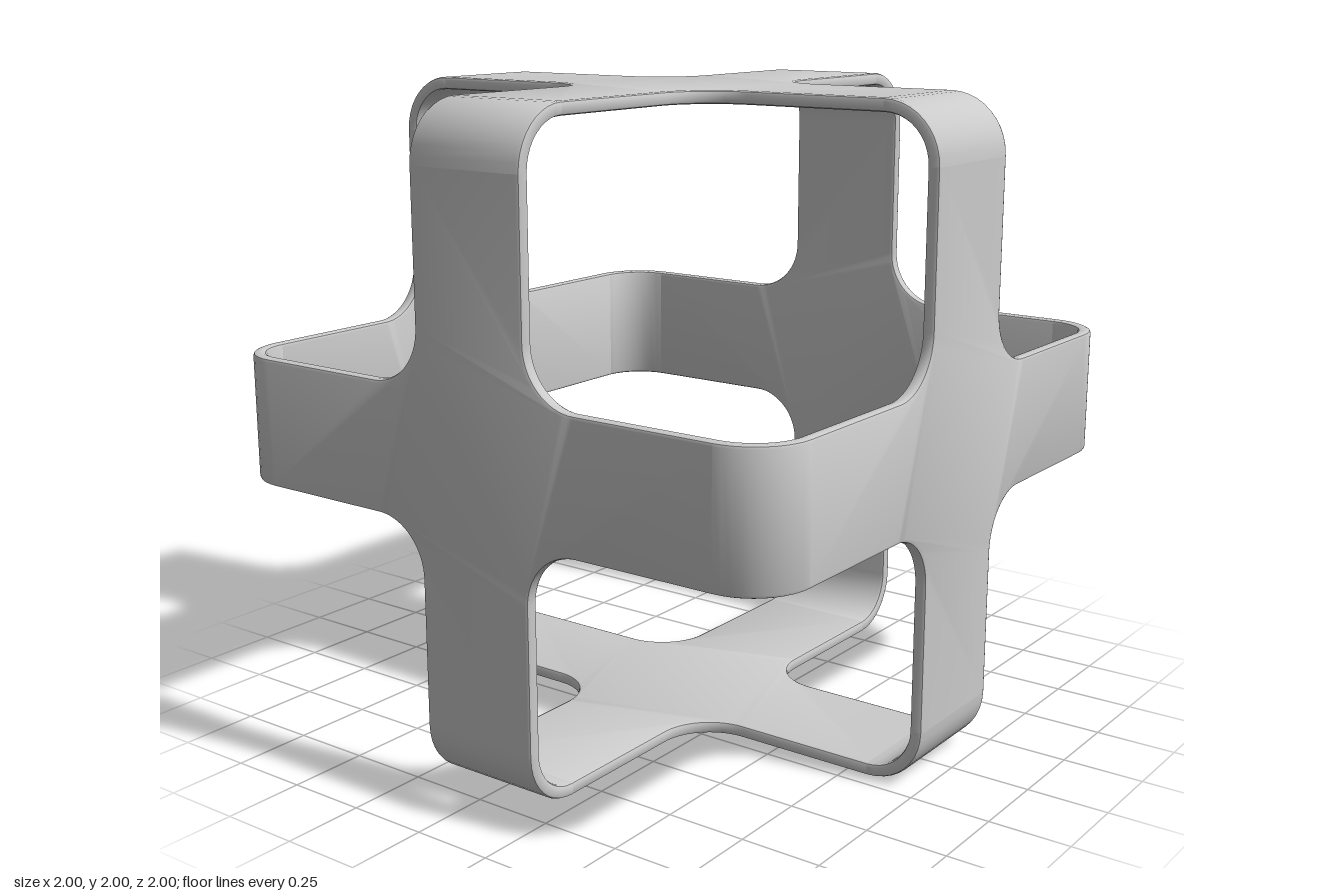
import * as THREE from 'three';
import { toCreasedNormals } from 'three/addons/utils/BufferGeometryUtils.js';

const HALF = 1;         // half size of the whole cage
const W = 0.2;          // half width of a band
const T = 0.04;         // band thickness
const R = 0.18;         // outer bend radius
const FILLET = 0.17;    // fillet where bands cross
const BEVEL = 0.011;    // softened rim
const FLAT = HALF - R;  // where the flat part ends and the bend begins

// Flat cross with filleted inner corners, its outer face at z = 1
function crossGeometry() {
  const shape = new THREE.Shape();
  const end = FLAT + 0.04, c = W + FILLET;
  for (let i = 0; i < 4; i++) {
    const a = i * Math.PI / 2, cos = Math.cos(a), sin = Math.sin(a);
    const at = (x, y) => [x * cos - y * sin, x * sin + y * cos];
    if (i === 0) shape.moveTo(...at(end, -W));
    else shape.lineTo(...at(end, -W));
    shape.lineTo(...at(end, W));
    shape.lineTo(...at(c, W));
    shape.absarc(...at(c, c), FILLET, a - Math.PI / 2, a - Math.PI, true);
  }
  const depth = T - 2 * BEVEL;
  const geo = new THREE.ExtrudeGeometry(shape, {
    depth, curveSegments: 10, bevelEnabled: true, bevelSegments: 2,
    bevelSize: BEVEL, bevelThickness: BEVEL, bevelOffset: -BEVEL,
  });
  geo.translate(0, 0, HALF - BEVEL - depth);
  // Cut the arm ends square so they meet the bends
  const p = geo.attributes.position;
  for (let i = 0; i < p.count; i++) {
    p.setX(i, THREE.MathUtils.clamp(p.getX(i), -FLAT, FLAT));
    p.setY(i, THREE.MathUtils.clamp(p.getY(i), -FLAT, FLAT));
  }
  return toCreasedNormals(geo, 0.5);
}

// Quarter-turn bend with the same softened band section
function bendGeometry() {
  const profile = [];
  const corners = [[R, -W, 1, -1], [R, W, 1, 1], [R - T, W, -1, 1], [R - T, -W, -1, -1]];
  corners.forEach(([x, y, sx, sy], i) => {
    for (let k = 0; k <= 2; k++) {
      const a = (i - 1) * Math.PI / 2 + k * Math.PI / 4;
      profile.push(new THREE.Vector2(
        x - sx * BEVEL + BEVEL * Math.cos(a), y - sy * BEVEL + BEVEL * Math.sin(a)));
    }
  });
  profile.push(profile[0].clone());
  const geo = new THREE.LatheGeometry(profile, 10, 0, Math.PI / 2);
  geo.translate(FLAT, 0, FLAT);
  return toCreasedNormals(geo, 0.5);
}

export function createModel() {
  const model = new THREE.Group();
  model.name = 'bandCage';
  const material = new THREE.MeshStandardMaterial({ color: 0xcccccc, side: THREE.DoubleSide });
  const cross = crossGeometry(), bend = bendGeometry();
  const q = Math.PI / 2;

  const add = (geometry, name, parent) => {
    const mesh = new THREE.Mesh(geometry, material);
    mesh.name = name;
    mesh.position.y = 0;
    parent.add(mesh);
    return mesh;
  };

  // Six crossings, one on each side of the cube
  const sides = {
    front: [0, 0], left: [0, q], back: [0, 2 * q], right: [0, 3 * q], top: [-q, 0], bottom: [q, 0],
  };
  for (const [side, [rx, ry]] of Object.entries(sides)) {
    const mesh = add(cross, side + 'Crossing', model);
    mesh.rotation.set(rx, ry, 0);
    mesh.position.y = HALF;
  }

  // Four bends on each of the three bands
  const bands = { horizontalBand: [0, 0], sideBand: [0, q], frontBand: [q, 0] };
  for (const [name, [rx, rz]] of Object.entries(bands)) {
    const band = new THREE.Group();
    band.name = name + 'Bends';
    for (let i = 0; i < 4; i++) add(bend, name + 'Bend' + (i + 1), band).rotation.y = i * q;
    band.rotation.set(rx, 0, rz);
    band.position.y = HALF;
    model.add(band);
  }
  return model;
}
